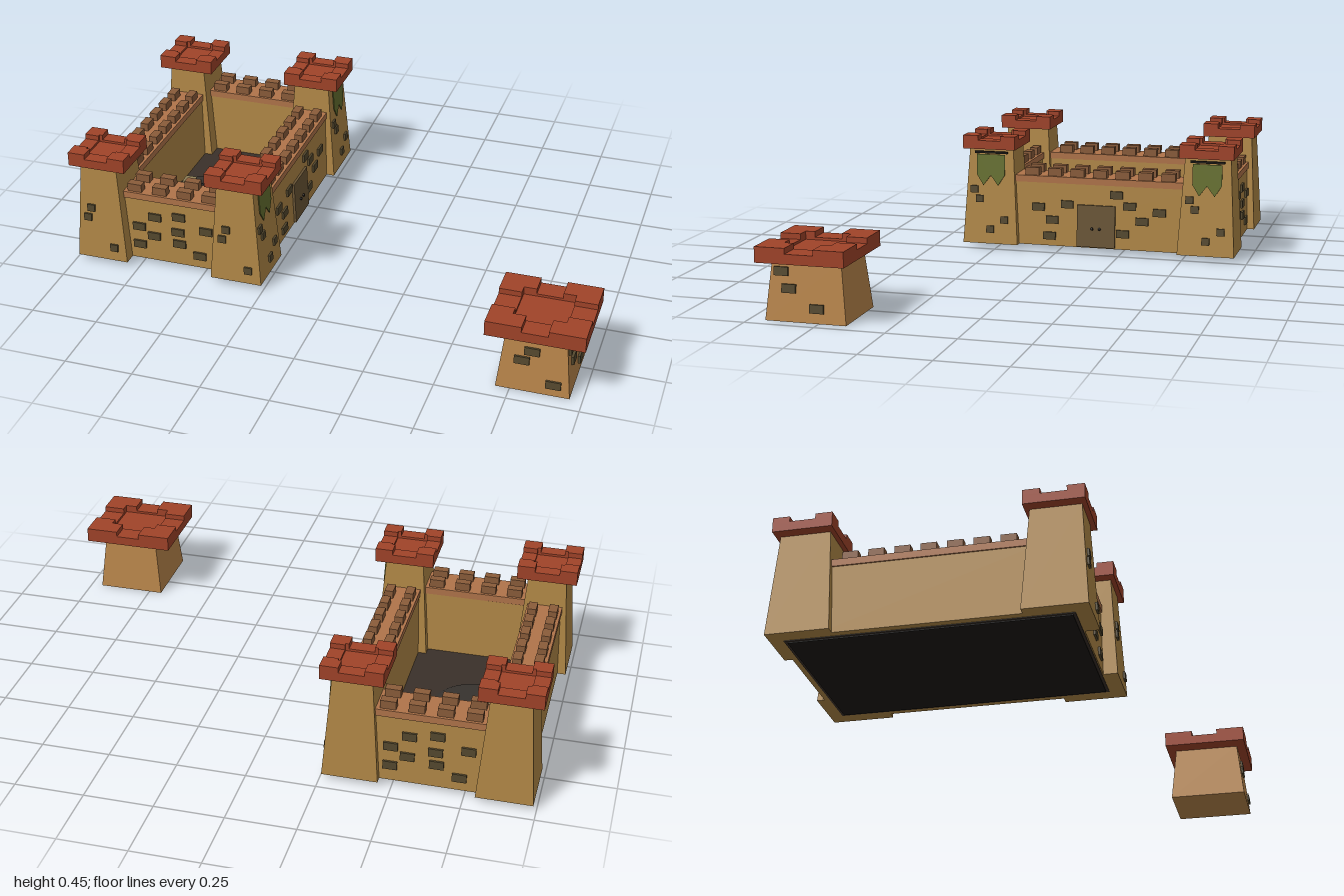
import * as THREE from 'three';

const mat = (color) => new THREE.MeshStandardMaterial({ color, flatShading: true });
const M = {
  wall: mat(0xb08746), hut: mat(0xb8854a), roof: mat(0xa04329), coping: mat(0xb0744a),
  merlon: mat(0x8a5c3a), stone: mat(0x54482e), door: mat(0x6b5636), dark: mat(0x1c1814),
  floor: mat(0x3a302a), mound: mat(0x37322e), pit: mat(0x262626), tan: mat(0x8f8058),
};
M.flag = mat(0x66702f);
M.flag.side = THREE.DoubleSide;

function add(parent, name, geo, material, x = 0, y = 0, z = 0) {
  const mesh = new THREE.Mesh(geo, material);
  mesh.name = name;
  mesh.position.set(x, y, z);
  parent.add(mesh);
  return mesh;
}
const box = (parent, name, m, w, h, d, x, y, z) =>
  add(parent, name, new THREE.BoxGeometry(w, h, d), m, x, y, z);

// Block standing on y = 0 whose top is narrower than its base
function taper(w0, d0, w1, d1, h) {
  const g = new THREE.BoxGeometry(1, h, 1).translate(0, h / 2, 0);
  const p = g.attributes.position;
  for (let i = 0; i < p.count; i++) {
    const top = p.getY(i) > h / 2;
    p.setX(i, p.getX(i) * (top ? w1 : w0));
    p.setZ(i, p.getZ(i) * (top ? d1 : d0));
  }
  g.computeVertexNormals();
  return g;
}

// Battlement cap: slab with a sunken middle and four raised L-shaped corners
function cap(parent, w, d, h, notchW, notchD, inner, y) {
  const g = new THREE.Group();
  g.name = 'battlementCap';
  g.position.y = y;
  parent.add(g);
  const low = h * 0.64, iw = w * inner / 2, id = d * inner / 2;
  const ring = new THREE.Shape([[-w, -d], [w, -d], [w, d], [-w, d]].map(([a, b]) => new THREE.Vector2(a / 2, b / 2)));
  ring.holes.push(new THREE.Path([[-iw, -id], [-iw, id], [iw, id], [iw, -id]].map(([a, b]) => new THREE.Vector2(a, b))));
  const up = (shape, height) =>
    new THREE.ExtrudeGeometry(shape, { depth: height, bevelEnabled: false }).rotateX(-Math.PI / 2);
  add(g, 'capRing', up(ring, low), M.roof);
  box(g, 'capFloor', M.roof, iw * 2, low * 0.75, id * 2, 0, low * 0.375, 0);
  for (const sx of [-1, 1]) for (const sz of [-1, 1]) {
    const nw = notchW / 2, nd = notchD / 2;
    const pts = [[w / 2, d / 2], [nw, d / 2], [nw, id], [iw, id], [iw, nd], [w / 2, nd]];
    const corner = new THREE.Shape(pts.map(([a, b]) => new THREE.Vector2(a * sx, b * sz)));
    add(g, 'capCorner', up(corner, h - low), M.roof, 0, low, 0);
  }
}

// Stones on a face turned by angle; offset and slope follow the leaning wall
function stones(parent, list, w, h, angle, offset, slope) {
  const g = new THREE.Group();
  g.name = 'stones';
  g.rotation.y = angle;
  parent.add(g);
  for (const [u, y] of list)
    box(g, 'stone', M.stone, w, h, 0.016, u, y, offset - slope * y).rotation.x = -Math.atan(slope);
}

function banner(parent, x, z, y) {
  const g = new THREE.Group();
  g.name = 'banner';
  g.position.set(x, y, z);
  g.rotation.set(0, Math.PI / 2, 0);
  parent.add(g);
  const s = new THREE.Shape([[-0.057, 0], [-0.057, -0.08], [-0.03, -0.123], [0, -0.083],
    [0.03, -0.123], [0.057, -0.08], [0.057, 0]].map(([a, b]) => new THREE.Vector2(a, b)));
  const cloth = add(g, 'bannerCloth', new THREE.ExtrudeGeometry(s, { depth: 0.004, bevelEnabled: false }), M.flag);
  cloth.rotation.x = -0.06;
  box(g, 'bannerRod', M.dark, 0.132, 0.008, 0.01, 0, 0.008, 0);
}

function tower(castle, x, z, dir) {
  const g = new THREE.Group();
  g.name = 'cornerTower';
  g.position.set(x, 0, z);
  castle.add(g);
  add(g, 'towerBody', taper(0.198, 0.222, 0.14, 0.176, 0.385), M.wall);
  cap(g, 0.22, 0.21, 0.053, 0.09, 0.09, 0.52, 0.38);
  if (dir > 0) stones(g, [[-0.035, 0.21], [-0.05, 0.17], [0.05, 0.055]], 0.03, 0.028, 0, 0.111, 0.06);
  if (x > -0.5) {
    stones(g, [[-0.067, 0.215], [-0.045, 0.178], [0.057, 0.097], [0, 0.058]], 0.03, 0.028, Math.PI / 2, 0.099, 0.075);
    banner(g, 0.077, 0, 0.355);
  }
}

// Wall running along local x, outside facing local +z
function wall(castle, name, x, z, length, angle, count, step, list) {
  const g = new THREE.Group();
  g.name = name;
  g.position.set(x, 0, z);
  g.rotation.y = angle;
  castle.add(g);
  add(g, 'wallBody', taper(length, 0.136, length, 0.118, 0.25), M.wall);
  box(g, 'coping', M.coping, length, 0.026, 0.128, 0, 0.263, 0);
  for (let i = 0; i < count; i++) for (const s of [-1, 1])
    box(g, 'merlon', M.merlon, 0.055, 0.031, 0.032, (i - (count - 1) / 2) * step, 0.291, s * 0.038);
  stones(g, list, 0.05, 0.03, 0, 0.068, 0.036);
  return g;
}

export function createModel() {
  const model = new THREE.Group();
  model.name = 'castleAndWatchtower';

  const castle = new THREE.Group();
  castle.name = 'castle';
  castle.position.y = 0.02;
  model.add(castle);
  for (const x of [-0.89, -0.356]) {
    tower(castle, x, 0.27, 1);
    tower(castle, x, -0.59, -1);
  }

  // Curtain walls
  const endStones = [[0.028, 0.2], [-0.068, 0.184], [0.135, 0.158], [-0.132, 0.136], [0.023, 0.136],
    [-0.073, 0.104], [0.028, 0.088], [0.108, 0.05], [-0.132, 0.061]];
  const sideStones = [[0.07, 0.214], [-0.127, 0.168], [-0.244, 0.153], [0.123, 0.172], [0.24, 0.153],
    [0.172, 0.115], [-0.187, 0.104], [0.096, 0.062], [-0.198, 0.04]];
  wall(castle, 'frontWall', -0.623, 0.263, 0.43, 0, 4, 0.098, endStones);
  wall(castle, 'backWall', -0.623, -0.605, 0.43, Math.PI, 4, 0.098, endStones);
  wall(castle, 'rightWall', -0.89, -0.163, 0.74, -Math.PI / 2, 7, 0.0905, []);
  const gate = wall(castle, 'gateWall', -0.356, -0.163, 0.74, Math.PI / 2, 7, 0.0905, sideStones);

  // Gate door with two knobs
  const door = box(gate, 'door', M.door, 0.152, 0.166, 0.016, -0.01, 0.087, 0.066);
  door.rotation.x = -0.036;
  for (const s of [-1, 1])
    add(door, 'doorKnob', new THREE.SphereGeometry(0.006, 10, 8), M.dark, s * 0.015, -0.01, 0.01);

  // Courtyard with a low round mound and a small post
  box(castle, 'courtyardFloor', M.floor, 0.62, 0.012, 0.98, -0.623, 0.004, -0.163);
  add(castle, 'underside', new THREE.BoxGeometry(0.6, 0.004, 0.96), M.dark, -0.623, -0.003, -0.163);
  add(castle, 'mound', new THREE.CylinderGeometry(0.14, 0.152, 0.008, 40), M.mound, -0.695, 0.013, -0.16);
  add(castle, 'moundTop', new THREE.CylinderGeometry(0.055, 0.075, 0.014, 32), M.pit, -0.75, 0.023, -0.16);
  add(castle, 'post', taper(0.055, 0.055, 0.035, 0.035, 0.04), M.tan, -0.755, 0.028, -0.155);
  box(castle, 'postCap', M.tan, 0.045, 0.012, 0.045, -0.755, 0.07, -0.155);

  // Separate watchtower
  const hut = new THREE.Group();
  hut.name = 'watchtower';
  hut.position.set(0.828, 0, 0.547);
  model.add(hut);
  add(hut, 'watchtowerBody', taper(0.256, 0.29, 0.21, 0.246, 0.212), M.hut);
  cap(hut, 0.343, 0.316, 0.055, 0.092, 0.1, 0.53, 0.208);
  stones(hut, [[-0.01, 0.156], [-0.043, 0.118], [0.07, 0.043]], 0.053, 0.028, 0, 0.145, 0.1);
  stones(hut, [[-0.088, 0.17], [-0.06, 0.113], [0.041, 0.05]], 0.05, 0.03, Math.PI / 2, 0.128, 0.1);
  return model;
}
